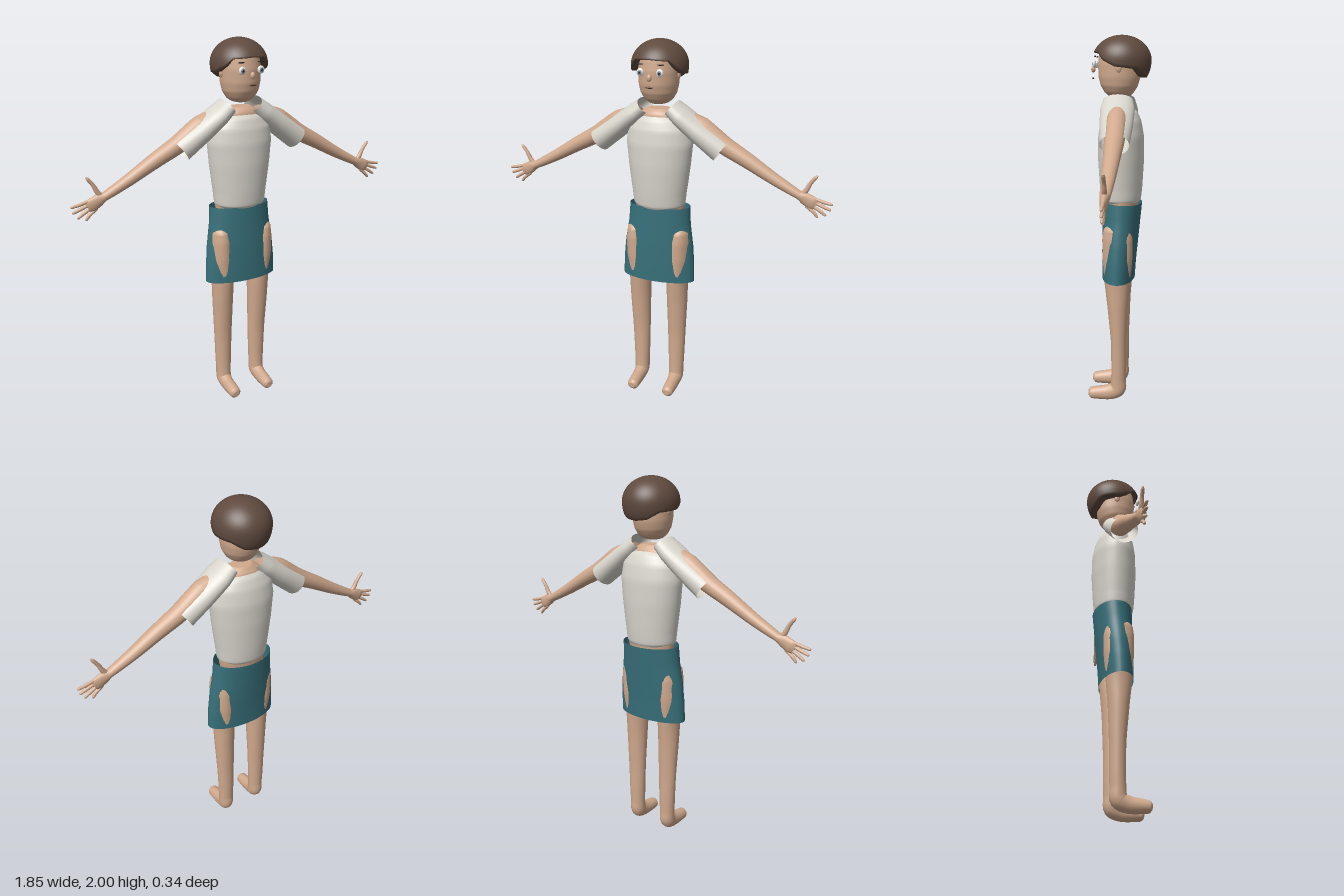
import * as THREE from 'three';

const mat = (name, color, double) => {
  const m = new THREE.MeshStandardMaterial({ color });
  m.name = name;
  if (double) m.side = THREE.DoubleSide;
  return m;
};

// Smooth loft through elliptical rings [x, y, z, a, b]; a lies along the fixed axis
function loft(rings, axis, { caps = true, steps = 5, sides = 32 } = {}) {
  const path = new THREE.CatmullRomCurve3(rings.map(r => new THREE.Vector3(r[0], r[1], r[2])), false, 'centripetal');
  const n = (rings.length - 1) * steps;
  const pos = [], idx = [];
  for (let i = 0; i <= n; i++) {
    const c = path.getPoint(i / n), t = path.getTangent(i / n);
    const k = Math.min(Math.floor(i / steps), rings.length - 2), f = i / steps - k;
    const a = THREE.MathUtils.lerp(rings[k][3], rings[k + 1][3], f);
    const b = THREE.MathUtils.lerp(rings[k][4], rings[k + 1][4], f);
    const u = axis.clone().addScaledVector(t, -axis.dot(t)).normalize();
    const v = t.clone().cross(u);
    for (let j = 0; j < sides; j++) {
      const q = j / sides * Math.PI * 2;
      const p = c.clone().addScaledVector(u, a * Math.cos(q)).addScaledVector(v, b * Math.sin(q));
      pos.push(p.x, p.y, p.z);
      if (i < n) {
        const A = i * sides + j, B = i * sides + (j + 1) % sides;
        idx.push(A, B, B + sides, A, B + sides, A + sides);
      }
    }
  }
  if (caps) {
    for (const [row, flip, r] of [[0, true, rings[0]], [n, false, rings[rings.length - 1]]]) {
      // separate cap vertices keep the rim crisp
      const s = pos.length / 3;
      for (let j = 0; j < sides; j++) pos.push(...pos.slice((row * sides + j) * 3, (row * sides + j) * 3 + 3));
      pos.push(r[0], r[1], r[2]);
      for (let j = 0; j < sides; j++) {
        const A = s + j, B = s + (j + 1) % sides;
        idx.push(...(flip ? [B, A, s + sides] : [A, B, s + sides]));
      }
    }
  }
  const g = new THREE.BufferGeometry();
  g.setAttribute('position', new THREE.Float32BufferAttribute(pos, 3));
  g.setIndex(idx);
  g.computeVertexNormals();
  return g;
}

// Hair cap: a dome whose lower edge drops from fringe to nape, tucked in underneath
function hairGeometry() {
  const edge = [[0, 1.912], [40, 1.905], [55, 1.868], [80, 1.835], [125, 1.825], [150, 1.79], [180, 1.782]];
  const edgeY = d => {
    const k = Math.max(1, edge.findIndex(e => e[0] >= d - 1e-6));
    const [d0, y0] = edge[k - 1], [d1, y1] = edge[k];
    return y0 + (y1 - y0) * (d - d0) / (d1 - d0);
  };
  const cols = 64, rows = 18, cy = 1.87, pos = [], idx = [];
  for (let i = 0; i <= rows + 1; i++) for (let j = 0; j < cols; j++) {
    const phi = j / cols * Math.PI * 2, deg = THREE.MathUtils.radToDeg(Math.min(phi, Math.PI * 2 - phi));
    const e = edgeY(deg) - cy, end = Math.acos(e / (e > 0 ? 0.13 : 0.165));
    const th = Math.min(i, rows) / rows * end, c = Math.cos(th);
    const r = Math.sin(th) * (i > rows ? 0.6 : 1);
    pos.push(Math.sin(phi) * r * 0.147, cy + c * (c > 0 ? 0.13 : 0.165), -0.014 + Math.cos(phi) * r * 0.156);
    if (i <= rows) {
      const A = i * cols + j, B = i * cols + (j + 1) % cols;
      idx.push(A, A + cols, B + cols, A, B + cols, B);
    }
  }
  const g = new THREE.BufferGeometry();
  g.setAttribute('position', new THREE.Float32BufferAttribute(pos, 3));
  g.setIndex(idx);
  g.computeVertexNormals();
  return g;
}

export function createModel() {
  const skin = mat('skin', 0xd0a98d), shirt = mat('shirt', 0xd8d5cc, true), teal = mat('shorts', 0x38707a, true);
  const hair = mat('hair', 0x5f4a3e, true), white = mat('eyeWhite', 0xe6e8e6), iris = mat('iris', 0x7d8a8e);
  const dark = mat('dark', 0x2a211e), lip = mat('lips', 0x7d4a43);
  const X = new THREE.Vector3(1, 0, 0), Z = new THREE.Vector3(0, 0, 1);
  const model = new THREE.Group();
  model.name = 'figure';
  const add = (name, geo, m, parent = model) => {
    const mesh = new THREE.Mesh(geo, m);
    mesh.name = name;
    parent.add(mesh);
    return mesh;
  };
  const ball = (name, x, y, z, rx, ry, rz, m, parent) => {
    const b = add(name, new THREE.SphereGeometry(1, 24, 16), m, parent);
    b.position.set(x, y, z);
    b.scale.set(rx, ry, rz);
    return b;
  };

  // Torso, with the skin showing at the collar and waist
  add('body', loft([
    [0, 0.9, -0.005, 0.1, 0.06], [0, 1.13, -0.015, 0.14, 0.09], [0, 1.3, -0.01, 0.13, 0.09],
    [0, 1.55, -0.01, 0.13, 0.085], [0, 1.625, -0.005, 0.105, 0.07], [0, 1.645, -0.005, 0.075, 0.055],
    [0, 1.653, -0.005, 0.06, 0.045],
  ], X), skin);
  add('shirtBody', loft([
    [0, 1.12, -0.01, 0.13, 0.1], [0, 1.135, -0.01, 0.143, 0.108], [0, 1.2, -0.01, 0.15, 0.115],
    [0, 1.35, -0.01, 0.17, 0.124], [0, 1.47, -0.01, 0.182, 0.123], [0, 1.55, -0.008, 0.17, 0.11],
    [0, 1.6, -0.006, 0.13, 0.09], [0, 1.625, -0.005, 0.09, 0.065],
  ], X, { caps: false }), shirt);

  // Shorts: one open skirt-like tube
  add('shorts', loft([
    [0, 1.08, -0.016, 0.155, 0.095], [0, 1.118, -0.018, 0.164, 0.103], [0, 1.121, -0.018, 0.17, 0.107],
    [0, 1.02, -0.012, 0.177, 0.103], [0, 0.9, -0.005, 0.196, 0.098], [0, 0.8, 0, 0.205, 0.093],
    [0, 0.697, 0.003, 0.208, 0.089],
  ].slice(2), X, { caps: false, sides: 48 }), teal);

  for (const s of [1, -1]) {
    const side = s > 0 ? 'left' : 'right';

    // Leg and foot in one sweep
    add(side + 'Leg', loft([
      [0.127, 1.03, 0, 0.02, 0.03], [0.127, 0.985, 0, 0.05, 0.074], [0.124, 0.93, 0, 0.06, 0.082],
      [0.12, 0.83, 0, 0.064, 0.081], [0.111, 0.7, 0.002, 0.061, 0.071], [0.11, 0.55, 0, 0.058, 0.056],
      [0.108, 0.35, -0.005, 0.051, 0.043], [0.107, 0.13, -0.004, 0.043, 0.041], [0.107, 0.068, 0.002, 0.042, 0.046],
      [0.107, 0.048, 0.045, 0.036, 0.044], [0.107, 0.041, 0.12, 0.034, 0.036], [0.107, 0.039, 0.152, 0.031, 0.031],
      [0.107, 0.038, 0.164, 0.016, 0.017],
    ].map(r => [r[0] * s, ...r.slice(1)]), X), skin);

    // Arm down to the palm
    const arm = new THREE.Group();
    arm.name = side + 'Arm';
    model.add(arm);
    const limb = (name, rings) => add(name, loft(rings.map(r => [r[0] * s, ...r.slice(1)]), Z, { sides: 24 }), skin, arm);
    limb('arm', [
      [0.1, 1.61, -0.005, 0.045, 0.04], [0.16, 1.592, -0.005, 0.054, 0.052], [0.23, 1.56, -0.005, 0.056, 0.06],
      [0.36, 1.48, -0.006, 0.051, 0.047], [0.48, 1.415, -0.005, 0.043, 0.04], [0.62, 1.335, -0.003, 0.034, 0.031],
      [0.75, 1.268, 0, 0.025, 0.022], [0.78, 1.254, 0, 0.021, 0.032], [0.82, 1.232, 0, 0.016, 0.036],
      [0.838, 1.222, 0, 0.009, 0.026],
    ]);
    [
      [0.833, 1.253, 0.922, 1.232], [0.835, 1.235, 0.915, 1.203],
      [0.828, 1.217, 0.893, 1.174], [0.812, 1.204, 0.855, 1.159],
    ].forEach(([x0, y0, x1, y1], i) => limb('finger' + (i + 1), [
      [x0 - 0.02, y0 + 0.008, 0, 0.008, 0.008], [(x0 + x1) / 2, (y0 + y1) / 2, 0, 0.009, 0.009],
      [x1 - 0.005, y1 + 0.003, 0, 0.007, 0.007], [x1, y1, 0, 0.003, 0.003],
    ]));
    limb('thumb', [
      [0.758, 1.262, 0, 0.012, 0.016], [0.785, 1.295, 0, 0.012, 0.013], [0.805, 1.335, 0, 0.01, 0.01],
      [0.828, 1.366, 0, 0.009, 0.009], [0.837, 1.376, 0, 0.004, 0.004],
    ]);

    // Open sleeve standing off the shoulder
    add(side + 'Sleeve', loft([
      [0.075, 1.66, 0, 0.08, 0.047], [0.13, 1.614, -0.001, 0.09, 0.055],
      [0.23, 1.538, -0.003, 0.085, 0.061], [0.343, 1.455, -0.004, 0.074, 0.066],
    ].map(r => [r[0] * s, ...r.slice(1)]), Z, { caps: false }), shirt);
  }

  // Head
  const head = new THREE.Group();
  head.name = 'head';
  model.add(head);
  add('skull', loft([
    [0, 1.676, 0.005, 0.025, 0.025], [0, 1.683, 0.005, 0.05, 0.05], [0, 1.7, 0.004, 0.073, 0.074],
    [0, 1.735, 0.002, 0.094, 0.097], [0, 1.78, 0, 0.103, 0.11], [0, 1.85, 0, 0.106, 0.113],
    [0, 1.91, 0, 0.1, 0.104], [0, 1.955, -0.005, 0.07, 0.075], [0, 1.97, -0.005, 0.03, 0.03],
  ], X), skin, head);
  add('hairCap', hairGeometry(), hair, head);

  // Face, standing slightly proud of the skull
  for (const s of [1, -1]) {
    const x = 0.052 * s;
    ball('eye', x, 1.85, 0.126, 0.019, 0.02, 0.01, white, head);
    ball('iris', x, 1.85, 0.133, 0.011, 0.012, 0.005, iris, head);
    ball('pupil', x, 1.85, 0.1365, 0.005, 0.006, 0.003, dark, head);
    ball('eyebrow', x * 1.06, 1.889, 0.122, 0.018, 0.004, 0.005, dark, head);
    ball('ear', 0.106 * s, 1.83, -0.005, 0.009, 0.025, 0.016, skin, head);
  }
  ball('nose', 0, 1.825, 0.138, 0.013, 0.018, 0.012, skin, head);
  ball('mouth', 0, 1.778, 0.139, 0.021, 0.005, 0.005, lip, head);
  ball('mouthLine', 0, 1.778, 0.142, 0.016, 0.002, 0.003, dark, head);
  return model;
}
